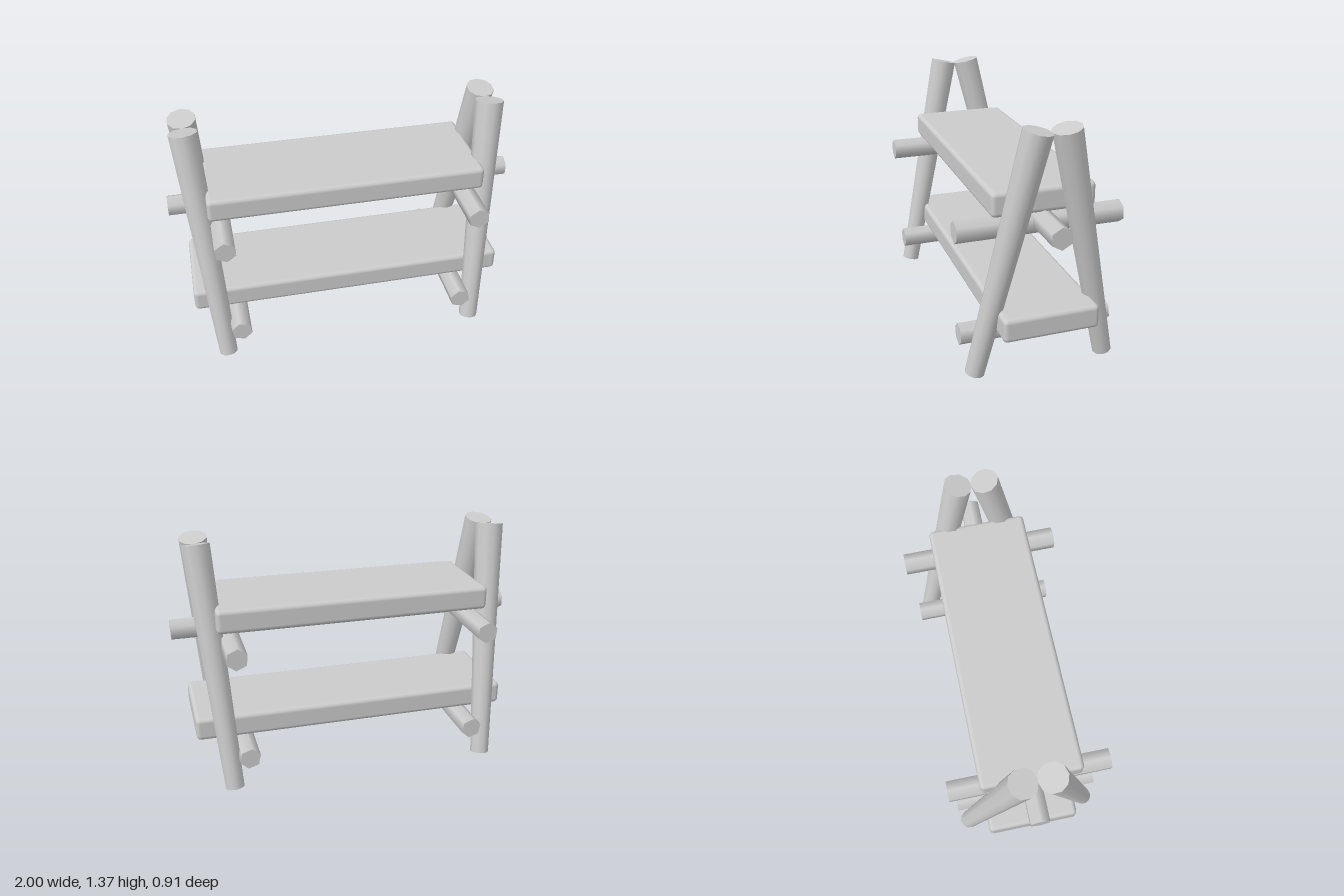
import * as THREE from 'three';
import { RoundedBoxGeometry } from 'three/addons/geometries/RoundedBoxGeometry.js';

export function createModel() {
  const model = new THREE.Group();
  const material = new THREE.MeshStandardMaterial({ color: 0xcccccc });
  const up = new THREE.Vector3(0, 1, 0);

  // Round pole between two points, with its own radius at each end
  function pole(name, from, to, rFrom, rTo, sides, twist = 0) {
    const a = new THREE.Vector3(...from), b = new THREE.Vector3(...to);
    const dir = b.clone().sub(a);
    const geometry = new THREE.CylinderGeometry(rTo, rFrom, dir.length(), sides);
    geometry.rotateY(twist);
    const mesh = new THREE.Mesh(geometry, material);
    mesh.name = name;
    mesh.position.copy(a).add(b).multiplyScalar(0.5);
    mesh.quaternion.setFromUnitVectors(up, dir.normalize());
    model.add(mesh);
  }

  // Plank with softened edges
  function plank(name, size, position) {
    const mesh = new THREE.Mesh(new RoundedBoxGeometry(...size, 2, 0.025), material);
    mesh.name = name;
    mesh.position.set(...position);
    model.add(mesh);
  }

  const cx = -0.015; // the frames sit slightly off centre
  for (const [side, s] of [['left', 1], ['right', -1]]) {
    // A-frame legs, thicker at the top
    for (const [end, e] of [['Front', 1], ['Back', -1]]) {
      pole(side + end + 'Leg',
        [cx + s * 0.748, 0.013, e * 0.373 - 0.004],
        [cx + s * 0.85, 1.354, e * 0.075 - 0.004], 0.054, 0.08, 10);
    }
    // Crossbars that carry the planks
    pole(side + 'UpperCrossbar', [cx + s * 0.708, 0.825, -0.457], [cx + s * 0.708, 0.825, 0.457], 0.062, 0.062, 6, 0.1);
    pole(side + 'LowerCrossbar', [cx + s * 0.66, 0.21, -0.43], [cx + s * 0.66, 0.21, 0.43], 0.061, 0.061, 6, 0.2);
  }

  // Long bar under the upper plank
  pole('ridgeBar', [-1, 0.853, 0], [1, 0.853, 0], 0.061, 0.061, 6, Math.PI / 6);

  plank('upperPlank', [1.56, 0.135, 0.565], [-0.01, 0.968, 0]);
  plank('lowerPlank', [1.84, 0.133, 0.53], [-0.003, 0.335, 0]);

  return model;
}
